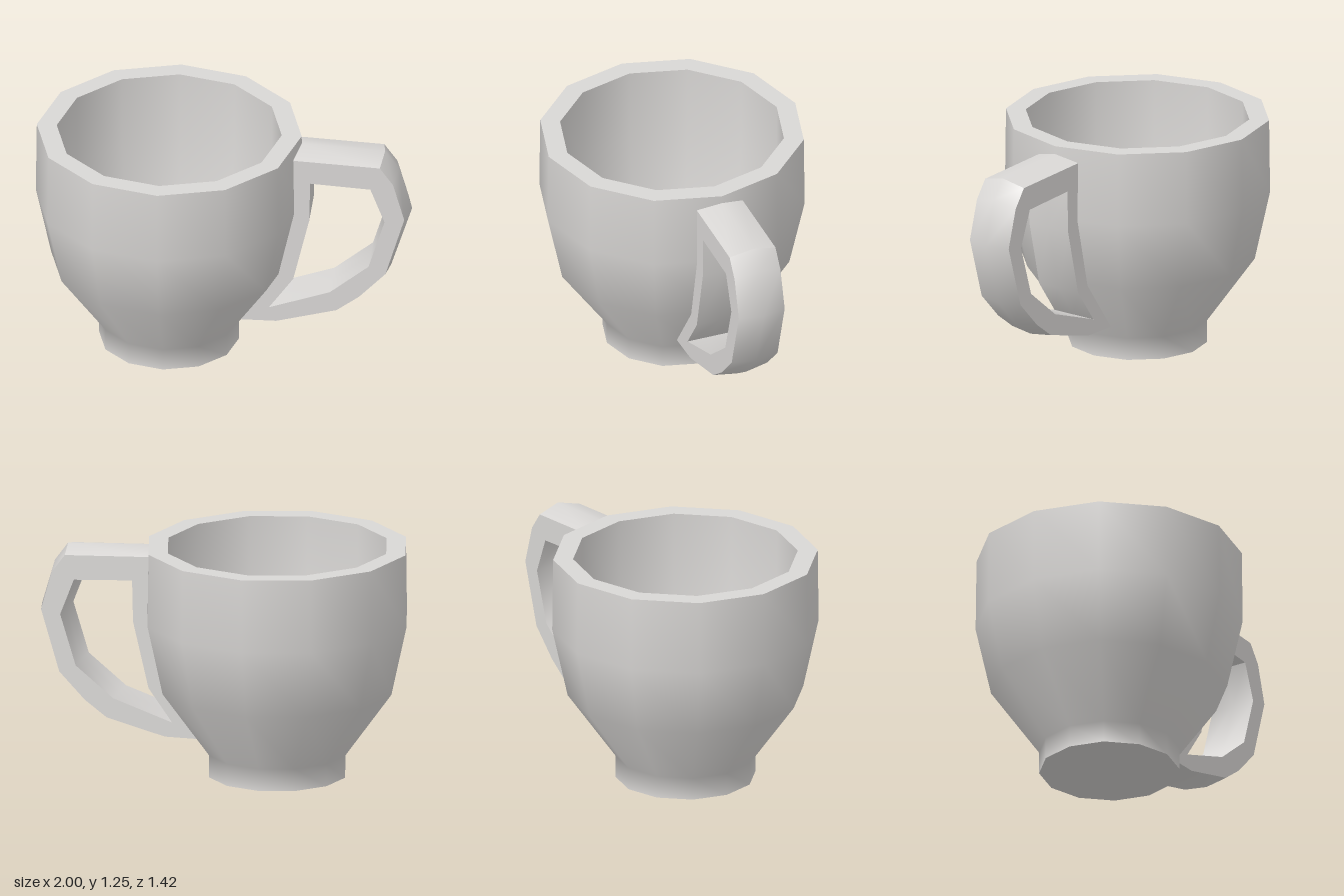
import * as THREE from 'three';
import { toCreasedNormals } from 'three/addons/utils/BufferGeometryUtils.js';

const CUP_X = -0.291;
const SIDES = 12;
const HALF_WIDTH = 0.131;

const vectors = (points) => points.map(([x, y]) => new THREE.Vector2(x, y));

function makeMaterial(name, color) {
  const material = new THREE.MeshStandardMaterial({ color });
  material.name = name;
  return material;
}

export function createModel() {
  const model = new THREE.Group();
  const ceramic = makeMaterial('light grey ceramic', 0xd9d7d5);
  const inside = makeMaterial('dark grey inside', 0x848484);

  const add = (name, geometry, material, parent) => {
    const mesh = new THREE.Mesh(geometry, material);
    mesh.name = name;
    parent.add(mesh);
  };

  // Twelve-sided cup: each lathe is one smooth surface, edges between them stay sharp
  const cup = new THREE.Group();
  cup.name = 'cup';
  cup.position.x = CUP_X;
  model.add(cup);
  const surfaces = [
    ['base', ceramic, [[0, 0], [0.372, 0]]],
    ['outerWall', ceramic, [[0.372, 0], [0.372, 0.12], [0.627, 0.475], [0.709, 0.85], [0.704, 1.247]]],
    ['rim', ceramic, [[0.704, 1.247], [0.598, 1.247]]],
    ['innerWall', ceramic, [[0.598, 1.247], [0.598, 0.85], [0.55, 0.5]]],
    ['innerBowl', inside, [[0.55, 0.5], [0.213, 0.13]]],
    ['floor', inside, [[0.213, 0.13], [0, 0.13]]],
  ];
  for (const [name, material, profile] of surfaces) {
    add(name, new THREE.LatheGeometry(vectors(profile), SIDES), material, cup);
  }

  // Handle outline at the sides, and the ridge it swells to along the middle
  const edge = [[0.1, 0.19], [0.29, 0.19], [0.61, 0.272], [0.73, 0.36], [0.87, 0.505],
    [0.97, 0.84], [0.91, 1.05], [0.84, 1.147], [0.38, 1.17], [0.385, 0.85], [0.3, 0.47]];
  const ridge = [[0.11, 0.168], [0.295, 0.185], [0.62, 0.257], [0.75, 0.345], [0.89, 0.495],
    [1, 0.84], [0.93, 1.08], [0.857, 1.18], [0.4, 1.205], [0.4, 0.85], [0.32, 0.47]];
  const opening = [[0.47, 1.035], [0.79, 1.015], [0.865, 0.82], [0.78, 0.545],
    [0.575, 0.38], [0.25, 0.27], [0.38, 0.45], [0.465, 0.81]];

  const shape = new THREE.Shape(vectors(edge));
  shape.holes.push(new THREE.Path(vectors(opening)));
  const handle = new THREE.ExtrudeGeometry(shape, {
    depth: 2 * HALF_WIDTH, steps: 2, bevelEnabled: false,
  });
  handle.translate(0, 0, -HALF_WIDTH);

  // Push the middle ring of the outer contour out to the ridge
  const position = handle.attributes.position;
  for (let i = 0; i < position.count; i++) {
    if (Math.abs(position.getZ(i)) > 0.01) continue;
    const k = edge.findIndex(([x, y]) =>
      Math.hypot(x - position.getX(i), y - position.getY(i)) < 0.001);
    if (k >= 0) position.setXY(i, ...ridge[k]);
  }
  handle.clearGroups();
  add('handle', toCreasedNormals(handle, THREE.MathUtils.degToRad(42)), ceramic, model);

  return model;
}
